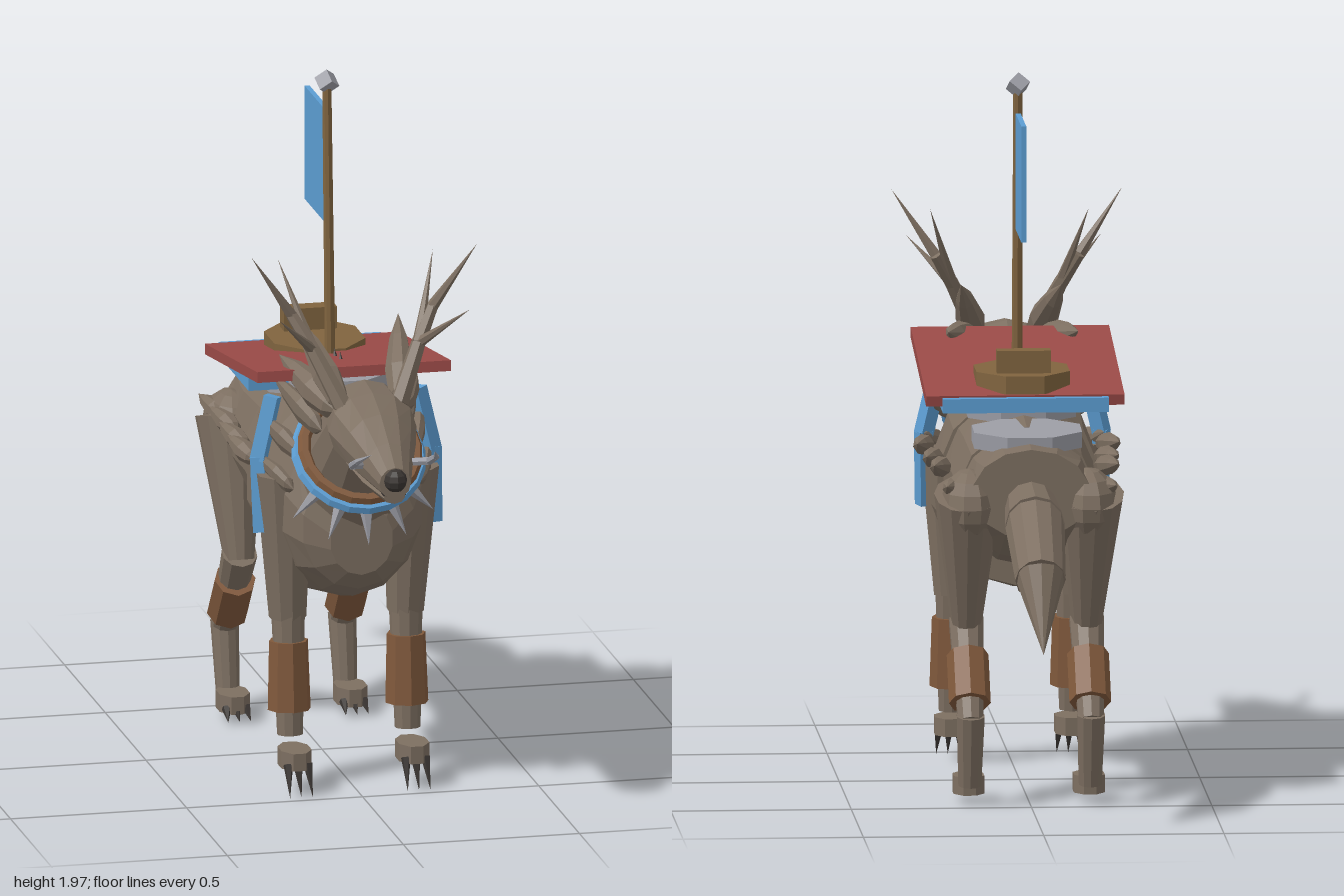
import * as THREE from 'three';

const mat = (name, color) => {
  const m = new THREE.MeshStandardMaterial({ color });
  m.name = name;
  return m;
};
const V = (x, y, z) => new THREE.Vector3(x, y, z);
const UP = V(0, 1, 0);

export function createModel() {
  const model = new THREE.Group();
  model.name = 'antleredMount';
  const fur = mat('fur brown', 0x7d6f61);
  const red = mat('saddle cloth red', 0x9a4a47);
  const blue = mat('banner blue', 0x5c9dd2);
  const leather = mat('leather', 0x80593c);
  const wood = mat('wood', 0x80643f);
  const metal = mat('pale metal', 0x9c9da5);
  const dark = mat('claw dark', 0x3a3532);

  // Adds a mesh with faceted normals
  const add = (name, geo, material, pos) => {
    const g = geo.index ? geo.toNonIndexed() : geo;
    g.computeVertexNormals();
    const mesh = new THREE.Mesh(g, material);
    mesh.name = name;
    if (pos) mesh.position.copy(pos);
    model.add(mesh);
    return mesh;
  };
  const box = (name, w, h, d, m, x, y, z) => add(name, new THREE.BoxGeometry(w, h, d), m, V(x, y, z));

  // Tapered cylinder from point a to point b
  const limb = (name, a, b, ra, rb, m, sides = 10) => {
    const mesh = add(name, new THREE.CylinderGeometry(rb, ra, a.distanceTo(b), sides), m, a.clone().lerp(b, 0.5));
    mesh.quaternion.setFromUnitVectors(UP, b.clone().sub(a).normalize());
    return mesh;
  };
  const spike = (name, a, b, r, m, sides = 6) => limb(name, a, b, r, 0, m, sides);

  // Pointed tuft: widest a third of the way, flattened along its local x
  const leaf = (name, a, b, r, flat, m = fur) => {
    const len = a.distanceTo(b);
    const pts = [[0, 0], [0.75, 0.12], [1, 0.38], [0.65, 0.72], [0, 1]].map(([x, y]) => new THREE.Vector2(x * r, y * len));
    const g = new THREE.LatheGeometry(pts, 8).scale(flat, 1, 1);
    const mesh = add(name, g, m, a);
    mesh.quaternion.setFromUnitVectors(UP, b.clone().sub(a).normalize());
    return mesh;
  };

  // Loft along z through elliptical rings [z, centre y, half width, half height], front first
  const loft = (name, rings, m, sides = 14) => {
    const n = rings.length - 1;
    const g = new THREE.CylinderGeometry(1, 1, 1, sides, n);
    const p = g.attributes.position;
    for (let i = 0; i < p.count; i++) {
      const [z, cy, rx, ry] = rings[Math.round((0.5 - p.getY(i)) * n)];
      p.setXYZ(i, p.getX(i) * rx, cy - p.getZ(i) * ry, z);
    }
    return add(name, g, m);
  };

  // Torso
  loft('chest', [[0.49, 0.74, 0.09, 0.1], [0.45, 0.77, 0.16, 0.18], [0.38, 0.8, 0.2, 0.25],
    [0.23, 0.81, 0.235, 0.3], [0.05, 0.81, 0.23, 0.27]], fur);
  loft('belly', [[0.1, 0.83, 0.215, 0.25], [-0.08, 0.845, 0.205, 0.215], [-0.3, 0.83, 0.195, 0.21]], fur);
  loft('rump', [[-0.24, 0.83, 0.195, 0.2], [-0.38, 0.85, 0.185, 0.17], [-0.49, 0.88, 0.165, 0.125]], fur);
  limb('neck', V(0, 0.85, 0.33), V(0, 1.1, 0.56), 0.175, 0.115, fur, 12);

  // Head
  loft('head', [[0.9, 1.015, 0.045, 0.045], [0.82, 1.04, 0.068, 0.07], [0.72, 1.07, 0.1, 0.095],
    [0.62, 1.095, 0.125, 0.105], [0.52, 1.11, 0.11, 0.1], [0.43, 1.12, 0.06, 0.06]], fur, 12);
  loft('lowerJaw', [[0.89, 0.972, 0.03, 0.018], [0.76, 0.985, 0.06, 0.03], [0.64, 1.01, 0.08, 0.04]], fur, 8);
  add('nose', new THREE.SphereGeometry(0.033, 8, 6), dark, V(0, 1.025, 0.905));
  box('mouthLine', 0.064, 0.008, 0.03, dark, 0, 0.983, 0.88);

  // Tail
  limb('tailBase', V(0, 0.85, -0.44), V(0, 0.82, -0.65), 0.07, 0.083, fur, 12);
  limb('tailMiddle', V(0, 0.82, -0.63), V(0, 0.7, -0.87), 0.083, 0.07, fur, 12);
  spike('tailTip', V(0, 0.71, -0.85), V(0, 0.51, -1), 0.072, fur, 12);

  for (const s of [1, -1]) {
    const P = (x, y, z) => V(s * x, y, z);

    // Front legs
    limb('frontUpperLeg', P(0.18, 0.9, 0.31), P(0.167, 0.48, 0.3), 0.08, 0.052, fur);
    limb('frontLowerLeg', P(0.167, 0.5, 0.305), P(0.167, 0.15, 0.33), 0.047, 0.036, fur);
    limb('frontCuff', P(0.167, 0.415, 0.31), P(0.167, 0.22, 0.32), 0.055, 0.061, leather, 8);

    // Hind legs
    limb('hindThigh', P(0.17, 0.87, -0.4), P(0.167, 0.48, -0.295), 0.13, 0.057, fur, 12).scale.x = 0.72;
    add('haunch', new THREE.SphereGeometry(1, 10, 8).scale(0.08, 0.1, 0.13), fur, P(0.165, 0.84, -0.4));
    limb('hindShin', P(0.167, 0.5, -0.29), P(0.167, 0.24, -0.475), 0.05, 0.037, fur);
    limb('hindCuff', P(0.167, 0.41, -0.345), P(0.167, 0.29, -0.44), 0.058, 0.058, leather, 8);
    limb('hindAnkle', P(0.167, 0.26, -0.475), P(0.167, 0.06, -0.435), 0.04, 0.033, fur);

    // Feet with three claws each
    for (const [z, y] of [[0.385, 0.1], [-0.375, 0.055]]) {
      const foot = new THREE.CylinderGeometry(0.07, 0.07, 0.05, 8).rotateY(Math.PI / 8).scale(0.66, 1, 1);
      add('foot', foot, fur, P(0.167, y, z));
      for (const dx of [-0.028, 0, 0.028])
        spike('claw', P(0.167 + dx, y - 0.01, z + 0.045), P(0.167 + dx * 1.15, y > 0.08 ? 0.005 : 0.015, z + 0.087), 0.014, dark, 5);
    }

    // Antlers: main beam and three tines
    const a0 = P(0.08, 1.16, 0.6), a1 = P(0.15, 1.31, 0.535), a2 = P(0.2, 1.4, 0.49);
    limb('antlerBase', a0, a1, 0.028, 0.021, fur, 6);
    limb('antlerBeam', a1, a2, 0.021, 0.017, fur, 6);
    spike('antlerTip', a2, P(0.32, 1.58, 0.52), 0.017, fur);
    spike('antlerBackTine', a1, P(0.22, 1.54, 0.41), 0.018, fur);
    spike('antlerFrontTine', a1, P(0.27, 1.43, 0.65), 0.016, fur);

    // Ears and mane tufts
    leaf('ear', P(0.08, 1.15, 0.61), P(0.14, 1.34, 0.33), 0.045, 0.9);
    leaf('lowerEar', P(0.09, 1.14, 0.6), P(0.18, 1.22, 0.25), 0.05, 0.9);
    leaf('maneTuft', P(0.12, 1.07, 0.52), P(0.19, 1.15, 0.22), 0.045, 0.6);
    leaf('maneTuft', P(0.16, 0.98, 0.45), P(0.23, 1.04, 0.2), 0.04, 0.6);
    leaf('maneTuft', P(0.18, 0.88, 0.43), P(0.25, 0.94, 0.23), 0.035, 0.6);

    // Tufts along the flank
    for (const [z, x, y] of [[0.22, 0.24, 0.93], [0.05, 0.225, 0.92], [-0.11, 0.215, 0.92], [-0.33, 0.195, 0.895]])
      leaf('flankTuft', P(x, y - 0.02, z), P(x + 0.04, y + 0.01, z - 0.17), 0.03, 1);

    // Curved whisker tusks
    const w = [P(0.06, 1.04, 0.78), P(0.11, 1.06, 0.85), P(0.112, 1.09, 0.92), P(0.09, 1.13, 1)];
    limb('whisker', w[0], w[1], 0.012, 0.012, metal, 6);
    limb('whisker', w[1], w[2], 0.012, 0.009, metal, 6);
    spike('whiskerTip', w[2], w[3], 0.009, metal);

    // Shoulder straps
    limb('shoulderStrap', P(0.205, 1.11, 0.28), P(0.247, 0.93, 0.285), 0.028, 0.028, blue, 4);
    limb('shoulderStrap', P(0.247, 0.94, 0.285), P(0.243, 0.73, 0.305), 0.028, 0.028, blue, 4);
  }

  // Collar rings around the neck, with spikes
  const ring = (name, r, t, m, y, z) => {
    const mesh = add(name, new THREE.TorusGeometry(r, t, 6, 20), m, V(0, y, z));
    mesh.rotation.x = -Math.PI / 4;
  };
  ring('collarBand', 0.172, 0.018, blue, 0.975, 0.45);
  ring('collarTrim', 0.158, 0.018, leather, 0.995, 0.47);
  for (const a of [-2.5, -2.03, -1.57, -1.11, -0.64]) {
    const at = r => V(Math.cos(a) * r, 0.955 + Math.sin(a) * r * 0.707, 0.43 - Math.sin(a) * r * 0.707);
    spike('collarSpike', at(0.17), at(0.25).add(V(0, -0.03, -0.03)), 0.018, metal, 5);
  }

  // Back armour plates
  for (const [y, z, rx, rz] of [[1.12, 0.2, 0.13, 0.12], [1.06, -0.05, 0.15, 0.12], [1.015, -0.31, 0.15, 0.125]]) {
    const g = new THREE.CylinderGeometry(1, 1, 0.045, 8).rotateY(Math.PI / 8).scale(rx * 1.08, 1, rz * 1.08);
    add('backPlate', g, metal, V(0, y, z)).rotation.x = -0.06;
  }

  // Saddle
  box('saddlePad', 0.46, 0.04, 0.37, blue, 0, 1.095, -0.09);
  box('saddleBoard', 0.55, 0.03, 0.65, red, 0, 1.152, 0.075).rotation.x = -0.145;
  const seat = new THREE.CylinderGeometry(0.14, 0.14, 0.05, 8).rotateY(Math.PI / 8).scale(1, 1, 1.2);
  add('saddleSeat', seat, wood, V(0, 1.147, -0.09));
  box('saddleBack', 0.15, 0.07, 0.05, wood, 0, 1.2, -0.165);
  for (const z of [0.09, 0.16, 0.23])
    spike('spineTuft', V(0, 1.13, z + 0.03), V(0, 1.19 + (z - 0.09) * 0.14, z - 0.01), 0.02, dark, 5);

  // Banner pole
  limb('pole', V(0, 1.13, 0.1), V(0, 1.93, 0.06), 0.015, 0.013, wood, 8);
  box('poleFinial', 0.042, 0.042, 0.042, metal, 0, 1.94, 0.06).rotation.set(0.7, 0.2, 0.7);
  box('banner', 0.014, 0.325, 0.24, blue, 0, 1.7, -0.063);
  return model;
}
